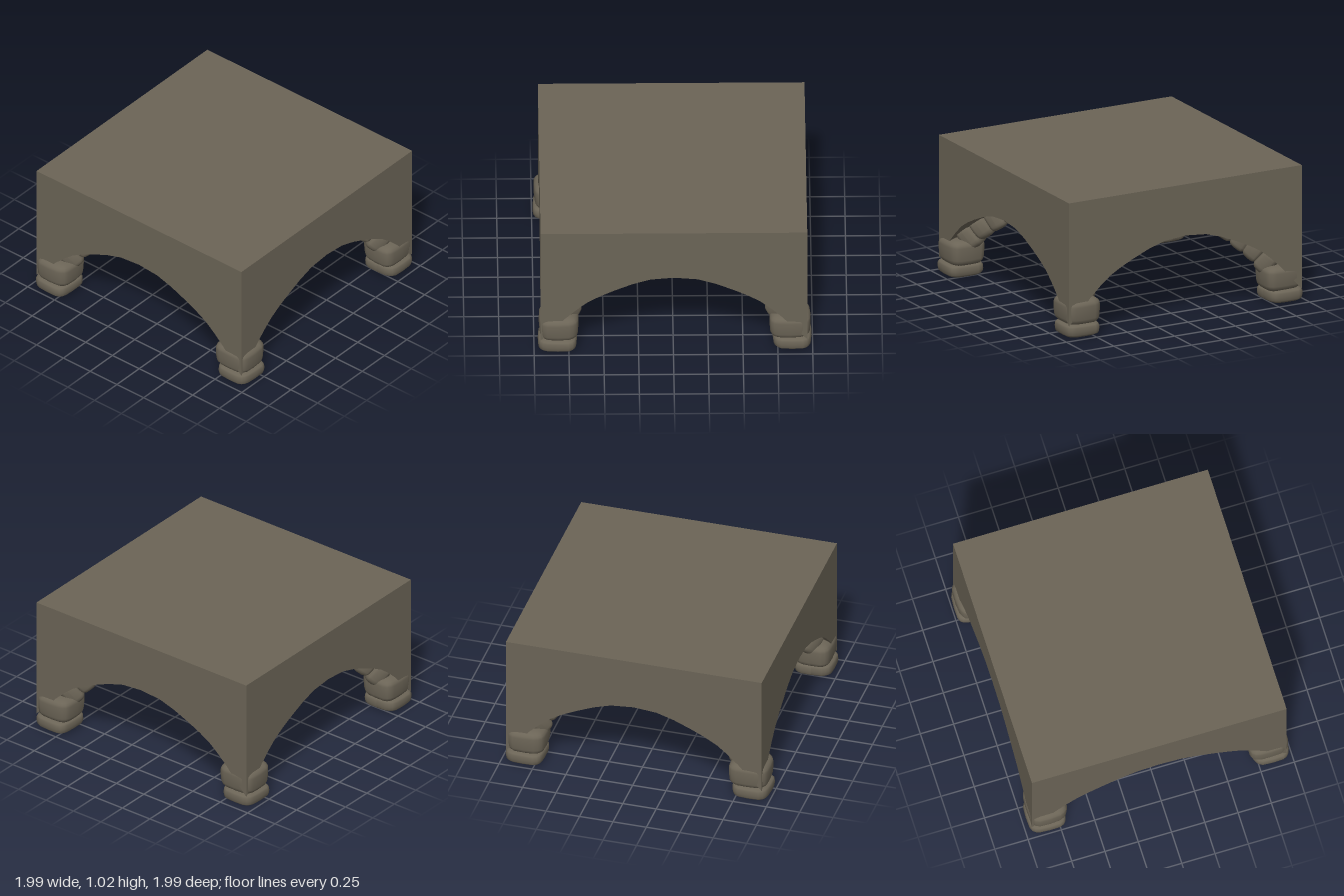
import * as THREE from 'three';

const HALF = 0.957, TOP = 1.025;

// Height of the arch cut in each wall, and of the domed groin line, by distance from the middle
const ARCH = [[0, 0.64], [0.17, 0.625], [0.3, 0.585], [0.43, 0.53], [0.53, 0.482], [0.62, 0.43],
  [0.7, 0.365], [0.78, 0.29], [0.86, 0.2], [HALF, 0.1]];
const GROIN = [[0, 0.74], [0.2, 0.715], [0.4, 0.645], [0.6, 0.525], [0.8, 0.33], [HALF, 0.1]];

function heightAt(table, d) {
  for (let i = 1; i < table.length; i++) {
    const [d0, h0] = table[i - 1], [d1, h1] = table[i];
    if (d <= d1) return h0 + (h1 - h0) * (d - d0) / (d1 - d0);
  }
  return table[table.length - 1][1];
}

// Surface from rows of points, each row running along +x
function gridGeometry(rows) {
  const cols = rows[0].length, index = [];
  for (let r = 0; r < rows.length - 1; r++) {
    for (let c = 0; c < cols - 1; c++) {
      const a = r * cols + c, b = a + 1, d = a + cols, e = d + 1;
      index.push(a, b, e, a, e, d);
    }
  }
  const g = new THREE.BufferGeometry();
  g.setAttribute('position', new THREE.Float32BufferAttribute(rows.flat(2), 3));
  g.setIndex(index);
  g.computeVertexNormals();
  return g;
}

// Rounded block with soft, slightly uneven sides
function stoneGeometry(w, h, d, seed, square = 0.55) {
  const g = new THREE.SphereGeometry(1, 20, 14);
  const p = g.attributes.position;
  const soft = (v) => Math.sign(v) * Math.pow(Math.abs(v), square);
  for (let i = 0; i < p.count; i++) {
    const x = p.getX(i), y = p.getY(i), z = p.getZ(i);
    const m = Math.max(Math.abs(soft(x)), Math.abs(soft(y)), Math.abs(soft(z)));
    const round = 0.86 + 0.14 * m;
    const bump = 1 + 0.035 * Math.sin(3 * x + seed * 2.1) * Math.cos(2.5 * z + seed) + 0.02 * Math.sin(4 * y + seed * 3.7);
    p.setXYZ(i, soft(x) * w * round * bump, soft(y) * h * round, soft(z) * d * round * bump);
  }
  g.computeVertexNormals();
  return g;
}

export function createModel() {
  const model = new THREE.Group();
  model.name = 'vault';
  const stone = new THREE.MeshStandardMaterial({ color: 0x6b6456, side: THREE.DoubleSide });
  stone.name = 'grey brown stone';

  const add = (parent, geometry, name) => {
    const m = new THREE.Mesh(geometry, stone);
    m.name = name;
    parent.add(m);
    return m;
  };

  // Flat top of the block
  const block = new THREE.Group();
  block.name = 'block';
  block.position.z = -0.004;
  model.add(block);
  const top = add(block, new THREE.PlaneGeometry(HALF * 2, HALF * 2), 'topSlab');
  top.rotation.x = -Math.PI / 2;
  top.position.y = TOP;

  // Four arched walls, each with its curved web of ceiling
  const right = ARCH.map(([d]) => d);
  const xs = [...right.slice(1).reverse().map((d) => -d), ...right];
  const wallGeo = gridGeometry([
    xs.map((x) => [x, heightAt(ARCH, Math.abs(x)), HALF]),
    xs.map((x) => [x, TOP, HALF]),
  ]);
  const webRows = [];
  for (let j = 0; j <= 8; j++) {
    const t = j / 8;
    webRows.push(xs.map((x) => {
      const d = Math.abs(x), g = heightAt(GROIN, d), a = heightAt(ARCH, d);
      return [x, g + (a - g) * t * (0.6 + 0.4 * t), d + (HALF - d) * t];
    }));
  }
  const webGeo = gridGeometry(webRows);
  for (let k = 0; k < 4; k++) {
    const side = new THREE.Group();
    side.name = 'archedSide' + (k + 1);
    side.rotation.y = k * Math.PI / 2;
    add(side, wallGeo, 'archedWall');
    add(side, webGeo, 'ceilingWeb');
    block.add(side);
  }

  // Central boss where the ribs meet
  const boss = add(model, stoneGeometry(0.175, 0.075, 0.175, 4), 'boss');
  boss.position.y = 0.68;

  // Rib stones: distance along x and z, height, half width
  const path = [[0.785, 0.295, 0.118], [0.72, 0.375, 0.104], [0.65, 0.442, 0.1], [0.575, 0.505, 0.093],
    [0.495, 0.56, 0.09], [0.415, 0.604, 0.085], [0.335, 0.64, 0.083], [0.255, 0.668, 0.08], [0.17, 0.686, 0.08]];
  const stones = path.map(([d, y, w], i) => {
    const a = path[Math.max(0, i - 1)], b = path[Math.min(path.length - 1, i + 1)];
    const dir = new THREE.Vector3(b[0] - a[0], b[1] - a[1], b[0] - a[0]);
    return { d, y, dir, geo: stoneGeometry(w, w * 0.85, 0.073, i + 1) };
  });
  const footGeo = stoneGeometry(0.14, 0.056, 0.14, 2, 0.5);
  const springerGeo = stoneGeometry(0.147, 0.1, 0.143, 5, 0.5);

  for (let k = 0; k < 4; k++) {
    const rib = new THREE.Group();
    rib.name = 'rib' + (k + 1);
    rib.rotation.y = k * Math.PI / 2;
    add(rib, footGeo, 'foot').position.set(0.852, 0.056, 0.83);
    add(rib, springerGeo, 'springer').position.set(0.838, 0.185, 0.825);
    stones.forEach((s) => {
      const m = add(rib, s.geo, 'ribStone');
      m.position.set(s.d, s.y, s.d);
      m.lookAt(m.position.clone().add(s.dir));
    });
    model.add(rib);
  }
  // lookAt above is in rib space, so each turned rib copies the first
  const first = model.getObjectByName('rib1');
  for (let k = 1; k < 4; k++) {
    model.getObjectByName('rib' + (k + 1)).children.forEach((m, i) => m.quaternion.copy(first.children[i].quaternion));
  }
  return model;
}
